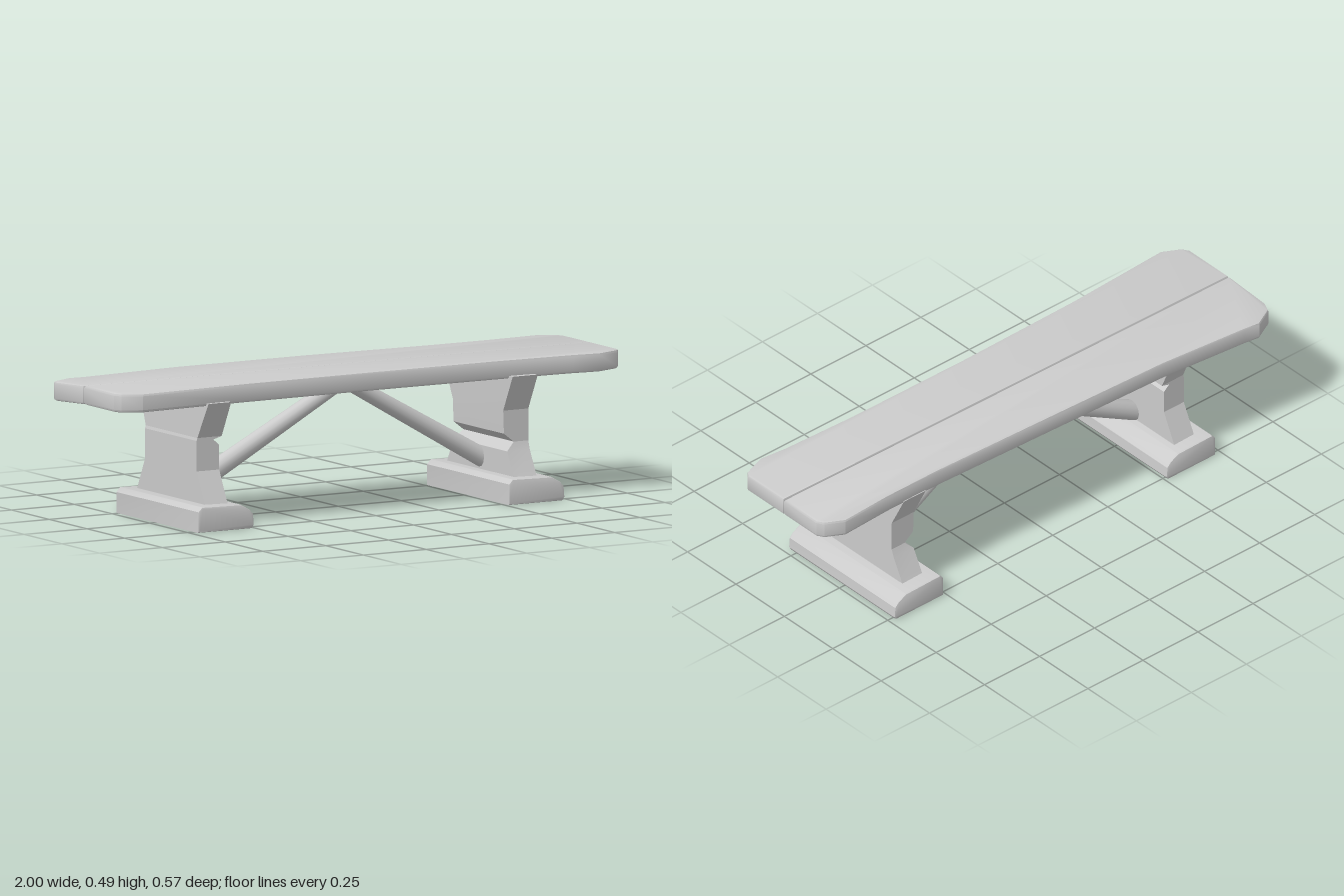
import * as THREE from 'three';
import { toCreasedNormals } from 'three/addons/utils/BufferGeometryUtils.js';

const material = new THREE.MeshStandardMaterial({ color: 0xcccccc });

function part(name, geometry, crease = 0.6) {
  const mesh = new THREE.Mesh(toCreasedNormals(geometry, crease), material);
  mesh.name = name;
  return mesh;
}

// Bevelled slab that stays inside its outline and depth
function slab(points, depth, bevel) {
  const shape = new THREE.Shape(points.map(([x, y]) => new THREE.Vector2(x, y)));
  const geometry = new THREE.ExtrudeGeometry(shape, {
    depth: depth - 2 * bevel, bevelThickness: bevel, bevelSize: bevel,
    bevelOffset: -bevel, bevelSegments: 2,
  });
  return geometry.translate(0, 0, bevel);
}

// Seat plank: outline in x/z, with the worn back left corner sagging a little
function plank(name, outline) {
  const geometry = slab(outline, 0.066, 0.009).rotateX(Math.PI / 2).translate(0, 0.491, 0);
  const p = geometry.attributes.position;
  for (let i = 0; i < p.count; i++) {
    const sag = THREE.MathUtils.smoothstep(-p.getX(i), 0.3, 0.95)
      * THREE.MathUtils.smoothstep(-p.getZ(i), 0.05, 0.27);
    p.setY(i, p.getY(i) - 0.014 * sag);
  }
  return part(name, geometry);
}

// Hourglass leg lofted through rectangles [y, xMin, xMax, zBack, zFront]
function leg(name, sections) {
  const positions = [];
  const index = [];
  for (const [y, x0, x1, z0, z1] of sections) {
    positions.push(x0, y, z1, x1, y, z1, x1, y, z0, x0, y, z0);
  }
  for (let s = 0; s < sections.length - 1; s++) {
    for (let k = 0; k < 4; k++) {
      const a = s * 4 + k, b = s * 4 + (k + 1) % 4;
      index.push(a, b, b + 4, a, b + 4, a + 4);
    }
  }
  const t = (sections.length - 1) * 4;
  index.push(0, 2, 1, 0, 3, 2, t, t + 1, t + 2, t, t + 2, t + 3);
  const geometry = new THREE.BufferGeometry();
  geometry.setAttribute('position', new THREE.Float32BufferAttribute(positions, 3));
  geometry.setIndex(index);
  return part(name, geometry, 0.2);
}

// Foot: lopsided rounded profile extruded along z
function foot(name, x) {
  const profile = [[-0.11, 0], [0.105, 0], [0.113, 0.012], [0.11, 0.05], [0.095, 0.066],
    [0.06, 0.085], [-0.095, 0.088], [-0.11, 0.072]];
  return part(name, slab(profile, 0.55, 0.007).translate(x, 0, -0.267));
}

// Round diagonal pole
function brace(name, from, to, rFrom, rTo) {
  const a = new THREE.Vector3(...from), b = new THREE.Vector3(...to);
  const mesh = part(name, new THREE.CylinderGeometry(rTo, rFrom, a.distanceTo(b), 12));
  mesh.position.copy(a).add(b).multiplyScalar(0.5);
  mesh.quaternion.setFromUnitVectors(new THREE.Vector3(0, 1, 0), b.sub(a).normalize());
  return mesh;
}

export function createModel() {
  const bench = new THREE.Group();
  bench.name = 'bench';

  bench.add(
    plank('backPlank', [[-1, -0.024], [-1, -0.21], [-0.985, -0.245], [-0.91, -0.283],
      [-0.85, -0.275], [-0.5, -0.252], [0, -0.236], [0.5, -0.217], [0.72, -0.217],
      [0.92, -0.226], [0.985, -0.19], [1, -0.165], [1, 0.001]]),
    plank('frontPlank', [[-1, -0.02], [1, 0.005], [1, 0.19], [0.985, 0.208], [0.9, 0.238],
      [0.8, 0.226], [0.5, 0.214], [0, 0.211], [-0.5, 0.219], [-0.92, 0.24], [-0.985, 0.205],
      [-1, 0.18]]),
  );

  // Legs, each with a groove across its inner face
  bench.add(
    leg('rightLeg', [
      [0.07, -0.67, -0.58, -0.225, 0.24], [0.195, -0.67, -0.58, -0.165, 0.177],
      [0.28, -0.67, -0.58, -0.165, 0.177], [0.3, -0.67, -0.603, -0.165, 0.177],
      [0.31, -0.667, -0.57, -0.165, 0.177], [0.435, -0.66, -0.57, -0.22, 0.24]]),
    leg('leftLeg', [
      [0.07, 0.56, 0.65, -0.22, 0.24], [0.17, 0.56, 0.65, -0.168, 0.187],
      [0.2, 0.592, 0.65, -0.157, 0.177], [0.23, 0.553, 0.65, -0.157, 0.177],
      [0.31, 0.55, 0.65, -0.157, 0.177], [0.435, 0.55, 0.65, -0.22, 0.24]]),
  );

  bench.add(foot('rightFoot', -0.616), foot('leftFoot', 0.62));

  bench.add(
    brace('rightBrace', [-0.6, 0.105, 0], [0.0, 0.425, 0], 0.036, 0.027),
    brace('leftBrace', [0.59, 0.115, 0], [0.04, 0.425, 0], 0.034, 0.027),
  );
  return bench;
}
